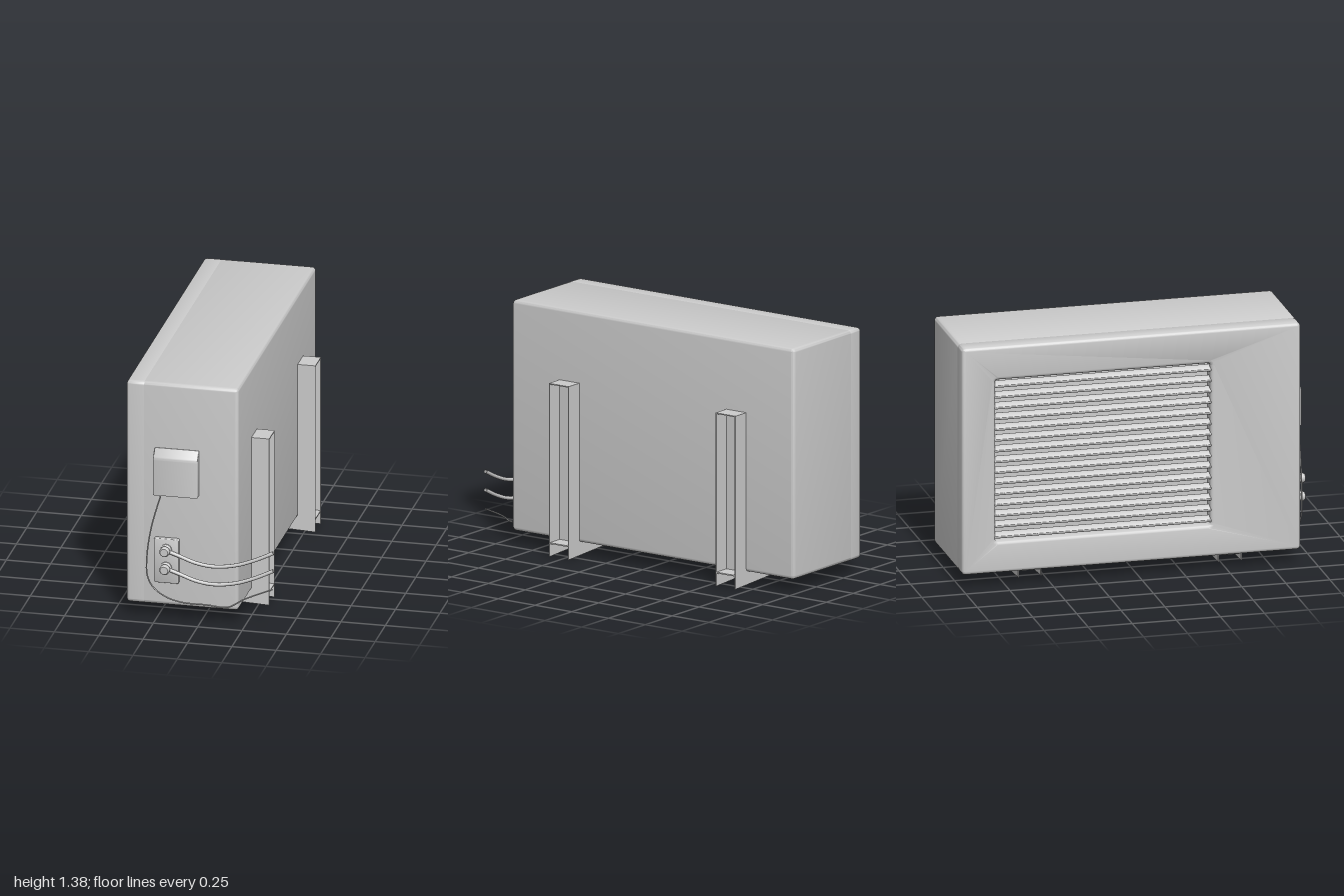
import * as THREE from 'three';
import { toCreasedNormals } from 'three/addons/utils/BufferGeometryUtils.js';

const grey = new THREE.MeshStandardMaterial({ color: 0xcccccc });
const greyThin = new THREE.MeshStandardMaterial({ color: 0xcccccc, side: THREE.DoubleSide });

function add(parent, name, geometry, material = grey) {
  const mesh = new THREE.Mesh(geometry, material);
  mesh.name = name;
  parent.add(mesh);
  return mesh;
}

// Box given by its minimum and maximum corners
function boxBetween(a, b) {
  const g = new THREE.BoxGeometry(b[0] - a[0], b[1] - a[1], b[2] - a[2]);
  return g.translate((a[0] + b[0]) / 2, (a[1] + b[1]) / 2, (a[2] + b[2]) / 2);
}

function roundedRect(path, x0, y0, x1, y1, r) {
  path.moveTo(x0 + r, y0);
  path.lineTo(x1 - r, y0);
  path.absarc(x1 - r, y0 + r, r, -Math.PI / 2, 0);
  path.lineTo(x1, y1 - r);
  path.absarc(x1 - r, y1 - r, r, 0, Math.PI / 2);
  path.lineTo(x0 + r, y1);
  path.absarc(x0 + r, y1 - r, r, Math.PI / 2, Math.PI);
  path.lineTo(x0, y0 + r);
  path.absarc(x0 + r, y0 + r, r, Math.PI, Math.PI * 1.5);
  return path;
}

// Extrusion with rounded rims whose total depth and outline match the given size
function softExtrude(shape, depth, r) {
  const g = new THREE.ExtrudeGeometry(shape, {
    depth: depth - 2 * r, bevelThickness: r, bevelSize: r, bevelOffset: -r,
    bevelSegments: 4, curveSegments: 4,
  });
  g.translate(0, 0, r);
  return toCreasedNormals(g, 0.7);
}

function tube(points, radius, segments) {
  const curve = new THREE.CatmullRomCurve3(points.map((p) => new THREE.Vector3(...p)));
  return new THREE.TubeGeometry(curve, segments, radius, 10);
}

// Casing outline drawn in (-z, y) and extruded along x
function casingPart(x0, x1, hole) {
  const r = 0.02;
  const shape = roundedRect(new THREE.Shape(), -0.92, 0.08, 1, 1.385, 0.022);
  if (hole) shape.holes.push(hole);
  return softExtrude(shape, x1 - x0, r).rotateY(Math.PI / 2).translate(x0, 0, 0);
}

function makeCasing() {
  const group = new THREE.Group();
  group.name = 'casing';
  const hole = roundedRect(new THREE.Path(), -0.41, 0.26, 0.81, 1.19, 0.012);
  add(group, 'grillePanel', casingPart(-0.42, -0.3, hole));
  add(group, 'mainHousing', casingPart(-0.34, 0.21));

  // Louvres across the air opening
  const count = 15;
  const pitch = 0.93 / count;
  for (let i = 0; i < count; i++) {
    const section = roundedRect(new THREE.Shape(), -0.024, -0.009, 0.024, 0.009, 0.008);
    const g = new THREE.ExtrudeGeometry(section, { depth: 1.24, bevelEnabled: false, curveSegments: 4 });
    const slat = add(group, 'louvre', toCreasedNormals(g, 0.7));
    slat.rotation.z = 0.5;
    slat.position.set(-0.39, 0.26 + pitch * (i + 0.5), -0.82);
  }
  return group;
}

// Angled wall bracket: two side flanges, webs against the casing and a top cap
function makeBracket(z) {
  const group = new THREE.Group();
  group.name = 'wallBracket';
  const half = 0.0675, t = 0.006;
  const outline = new THREE.Shape();
  outline.moveTo(-0.385, 0.035);
  outline.lineTo(0.31, 0);
  outline.lineTo(0.31, 0.98);
  outline.lineTo(0.21, 0.98);
  outline.lineTo(0.21, 0.1);
  outline.quadraticCurveTo(0.21, 0.08, 0.19, 0.08);
  outline.lineTo(-0.385, 0.08);
  outline.closePath();
  for (const zFlange of [-half, half - t]) {
    const g = new THREE.ExtrudeGeometry(outline, { depth: t, bevelEnabled: false });
    add(group, 'sideFlange', g.translate(0, 0, zFlange));
  }
  add(group, 'lowerWeb', boxBetween([-0.385, 0.072, -half + t], [0.31, 0.079, half - t]));
  add(group, 'backWeb', boxBetween([0.211, 0.079, -half + t], [0.217, 0.98, half - t]));
  add(group, 'topCap', boxBetween([0.21, 0.974, -half + t], [0.31, 0.98, half - t]));
  group.position.z = z;
  return group;
}

// Wiring cover with a sloping top, drawn in (-z, y)
function makeWiringCover() {
  const s = new THREE.Shape();
  s.moveTo(-0.965, 0.74);
  s.lineTo(-0.91, 0.74);
  s.lineTo(-0.91, 1.005);
  s.lineTo(-0.922, 1.005);
  s.lineTo(-0.96, 0.965);
  s.quadraticCurveTo(-0.965, 0.958, -0.965, 0.945);
  s.closePath();
  return softExtrude(s, 0.25, 0.005).rotateY(Math.PI / 2).translate(-0.26, 0, 0);
}

function makeValves() {
  const group = new THREE.Group();
  group.name = 'valves';
  const plate = roundedRect(new THREE.Shape(), -0.26, 0.22, -0.12, 0.48, 0.01);
  add(group, 'valvePlate', softExtrude(plate, 0.035, 0.005).translate(0, 0, 0.91));

  const profile = [
    [0.032, 0.94], [0.032, 0.953], [0.02, 0.962], [0.02, 0.968],
    [0.028, 0.972], [0.028, 0.99], [0.022, 1], [0, 1],
  ].map(([r, z]) => new THREE.Vector2(r, z));
  for (const y of [0.418, 0.313]) {
    const knob = new THREE.LatheGeometry(profile, 16).rotateX(Math.PI / 2);
    add(group, 'valveKnob', toCreasedNormals(knob.translate(-0.19, y, 0), 0.6), greyThin);
    // Refrigerant pipe sagging away from the valve
    const pipe = tube([
      [-0.19, y - 0.002, 0.957], [-0.12, y - 0.025, 0.957], [-0.02, y - 0.06, 0.956],
      [0.08, y - 0.073, 0.955], [0.2, y - 0.057, 0.953], [0.31, y - 0.018, 0.951], [0.415, y + 0.033, 0.949],
    ], 0.0105, 40);
    add(group, 'pipe', pipe, greyThin);
  }
  return group;
}

export function createModel() {
  const model = new THREE.Group();
  model.name = 'outdoorAirConditionerUnit';
  model.add(makeCasing(), makeBracket(0.527), makeBracket(-0.608), makeValves());
  add(model, 'wiringCover', makeWiringCover());

  // Thin power cable hanging from the cover
  const cable = tube([
    [-0.215, 0.75, 0.955], [-0.27, 0.55, 0.957], [-0.295, 0.38, 0.957], [-0.293, 0.26, 0.957],
    [-0.26, 0.195, 0.957], [-0.19, 0.145, 0.957], [-0.1, 0.12, 0.957], [0.04, 0.116, 0.955],
    [0.16, 0.112, 0.953], [0.25, 0.165, 0.952], [0.41, 0.237, 0.95],
  ], 0.004, 60);
  add(model, 'powerCable', cable, greyThin);
  return model;
}
